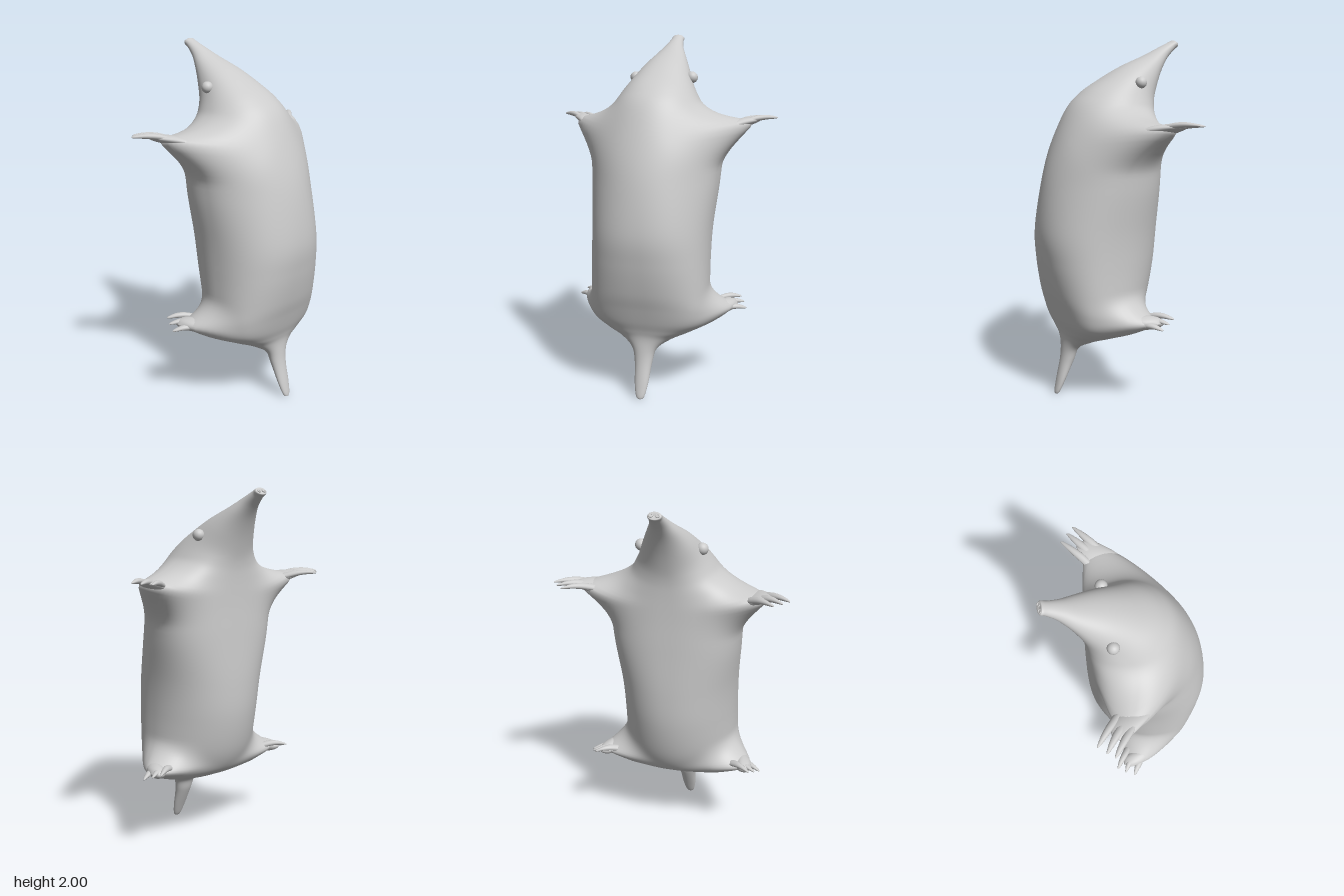
import * as THREE from 'three';

const skin = new THREE.MeshStandardMaterial({ color: 0xcccccc });

// Catmull-Rom blend between rows of section numbers
function refine(rows, steps) {
  const out = [];
  const row = (i) => rows[Math.min(Math.max(i, 0), rows.length - 1)];
  for (let i = 0; i < rows.length - 1; i++) {
    for (let k = 0; k < steps; k++) {
      const t = k / steps;
      out.push(rows[i].map((b, c) => {
        const a = row(i - 1)[c], d = row(i + 1)[c], e = row(i + 2)[c];
        return b + 0.5 * t * (d - a + t * (2 * a - 5 * b + 4 * d - e + t * (3 * (b - d) + e - a)));
      }));
    }
  }
  out.push(rows[rows.length - 1]);
  return out;
}

// Skin a list of sections; pointAt(section, angle) gives each ring point
function loft(name, rows, steps, sides, pointAt) {
  const rings = refine(rows, steps), pos = [], idx = [];
  rings.forEach((r, i) => {
    for (let j = 0; j < sides; j++) {
      pos.push(...pointAt(r, (j / sides) * Math.PI * 2));
      if (i === rings.length - 1) continue;
      const a = i * sides + j, b = i * sides + (j + 1) % sides;
      idx.push(a, b, b + sides, a, b + sides, a + sides);
    }
  });
  const geo = new THREE.BufferGeometry();
  geo.setAttribute('position', new THREE.Float32BufferAttribute(pos, 3));
  geo.setIndex(idx);
  geo.computeVertexNormals();
  const mesh = new THREE.Mesh(geo, skin);
  mesh.name = name;
  return mesh;
}

// Limbs are drawn out of the body wall: root centre, reach and pull direction
const LIMBS = [
  { y: 1.455, z: 0.035, ry: 0.185, rz: 0.28, pull: [0.225, 0.075, -0.15] },
  { y: 0.465, z: 0.05, ry: 0.17, rz: 0.21, pull: [0.155, 0.012, -0.12] },
];

function drawOutLimbs(x, y, z) {
  const p = [x, y, z];
  for (const l of LIMBS) {
    const qy = Math.hypot((y - l.y) / l.ry, 0.1), qz = Math.abs(z - l.z) / l.rz;
    if (qy >= 1 || qz >= 1) continue;
    const side = Math.min(Math.abs(x) / 0.2, 1) * Math.sign(x);
    const f = (1 - qy) ** 2 * (1 - qz * qz) ** 2;
    p[0] += side * f * l.pull[0];
    p[1] += Math.abs(side) * f * l.pull[1];
    p[2] += Math.abs(side) * f * l.pull[2];
  }
  return p;
}

const power = (v, p) => Math.sign(v) * Math.pow(Math.abs(v), p);

// Body ring spans from a back point to a belly point:
// [yBack, zBack, yBelly, zBelly, halfWidth, lean], lean > 0 is fuller at the back, < 0 at the belly
function bodyPoint([yb, zb, yf, zf, w, lean], t) {
  const toBack = Math.sign(Math.cos(t));
  const p = 1 - (0.45 + 0.6 * lean * toBack) * Math.min(Math.max(w, 0), 0.2);
  const c = power(Math.cos(t), p), s = power(Math.sin(t), p) * (1 + 0.1 * lean * c);
  return drawOutLimbs(w * s, (yb + yf) / 2 + c * (yb - yf) / 2, (zb + zf) / 2 + c * (zb - zf) / 2);
}

// Paw ring lies across x: [x, y, z, halfHeight, halfDepth]; side mirrors it
const pawPoint = (side) => ([x, y, z, hy, hz], t) =>
  [side * x, y + hy * Math.cos(t), z + side * hz * Math.sin(t)];

const BODY = [
  [0.004, 0.338, 0.004, 0.338, 0, 0],
  [0.015, 0.350, 0.020, 0.322, 0.022, 0],
  [0.080, 0.338, 0.090, 0.288, 0.038, 0],
  [0.200, 0.312, 0.200, 0.235, 0.050, 0],
  [0.280, 0.302, 0.275, 0.205, 0.072, 0],
  [0.340, 0.300, 0.310, 0.130, 0.140, 0.2],
  [0.385, 0.310, 0.350, 0.030, 0.235, 0.5],
  [0.440, 0.330, 0.390, -0.060, 0.310, 0.7],
  [0.520, 0.355, 0.440, -0.130, 0.332, 0.8],
  [0.620, 0.385, 0.560, -0.190, 0.330, 0.75],
  [0.780, 0.415, 0.750, -0.230, 0.328, 0.5],
  [0.950, 0.428, 0.950, -0.240, 0.334, 0],
  [1.200, 0.395, 1.200, -0.235, 0.355, -0.8],
  [1.400, 0.340, 1.380, -0.230, 0.356, -0.9],
  [1.600, 0.255, 1.520, -0.230, 0.280, -0.8],
  [1.700, 0.170, 1.600, -0.235, 0.222, -0.4],
  [1.780, 0.050, 1.670, -0.250, 0.174, 0],
  [1.850, -0.075, 1.760, -0.280, 0.131, 0],
  [1.910, -0.212, 1.840, -0.317, 0.086, 0],
  [1.950, -0.293, 1.900, -0.358, 0.054, 0],
  [1.985, -0.365, 1.945, -0.402, 0.037, 0],
  [1.999, -0.395, 1.962, -0.424, 0.036, 0],
  [1.997, -0.404, 1.970, -0.424, 0.024, 0],
  [1.982, -0.412, 1.982, -0.412, 0, 0],
];

const HAND = [
  [0.38, 1.478, -0.035, 0.020, 0.060],
  [0.42, 1.496, -0.055, 0.030, 0.100],
  [0.46, 1.510, -0.080, 0.029, 0.097],
  [0.50, 1.520, -0.108, 0.023, 0.077],
  [0.54, 1.527, -0.135, 0.013, 0.045],
  [0.555, 1.528, -0.145, 0, 0],
];

const FOOT = [
  [0.35, 0.478, 0.010, 0.025, 0.050],
  [0.39, 0.479, -0.010, 0.038, 0.088],
  [0.42, 0.479, -0.035, 0.034, 0.078],
  [0.445, 0.479, -0.055, 0.022, 0.052],
  [0.46, 0.479, -0.065, 0, 0],
];

// Root and tip of each digit
const FINGERS = [
  [[0.48, 1.518, -0.065], [0.642, 1.537, -0.187]],
  [[0.46, 1.516, -0.110], [0.612, 1.532, -0.222]],
  [[0.42, 1.508, -0.135], [0.572, 1.530, -0.262]],
];
const TOES = [
  [[0.39, 0.463, 0.010], [0.510, 0.459, -0.062]],
  [[0.36, 0.478, -0.035], [0.488, 0.480, -0.112]],
  [[0.34, 0.495, -0.070], [0.462, 0.497, -0.155]],
];

// Tapered digit, slightly arched, ending in a point
function digit(name, [a, b], hy, hz, side) {
  const taper = [[0, 1], [0.35, 1], [0.65, 0.8], [0.9, 0.45], [0.98, 0.22], [1, 0]];
  const rows = taper.map(([t, k]) => {
    const p = a.map((v, i) => v + (b[i] - v) * t);
    return [p[0], p[1] + 0.012 * Math.sin(Math.PI * t), p[2], hy * k, hz * k];
  });
  return loft(name, rows, 3, 14, pawPoint(side));
}

function paw(name, palm, digits, hy, hz, side) {
  const group = new THREE.Group();
  group.name = name;
  group.add(loft(name + 'Palm', palm, 4, 28, pawPoint(side)));
  digits.forEach((d, i) => group.add(digit(`${name}Digit${i + 1}`, d, hy, hz, side)));
  return group;
}

export function createModel() {
  const model = new THREE.Group();
  model.name = 'mole';
  model.add(loft('bodyWithLimbsAndTail', BODY, 8, 96, bodyPoint));

  for (const [label, side] of [['left', 1], ['right', -1]]) {
    // Three-fingered hand and three-toed foot
    model.add(paw(label + 'Hand', HAND, FINGERS, 0.016, 0.026, side));
    model.add(paw(label + 'Foot', FOOT, TOES, 0.016, 0.024, side));

    // Eye
    const eye = new THREE.Mesh(new THREE.SphereGeometry(0.032, 20, 14), skin);
    eye.name = label + 'Eye';
    eye.position.set(side * 0.166, 1.757, -0.108);

    // Nostril rim
    const nostril = new THREE.Mesh(new THREE.TorusGeometry(0.009, 0.004, 8, 16), skin);
    nostril.name = label + 'Nostril';
    nostril.position.set(side * 0.017, 1.984, -0.413);
    nostril.rotation.x = -2.2;
    model.add(eye, nostril);
  }
  return model;
}
